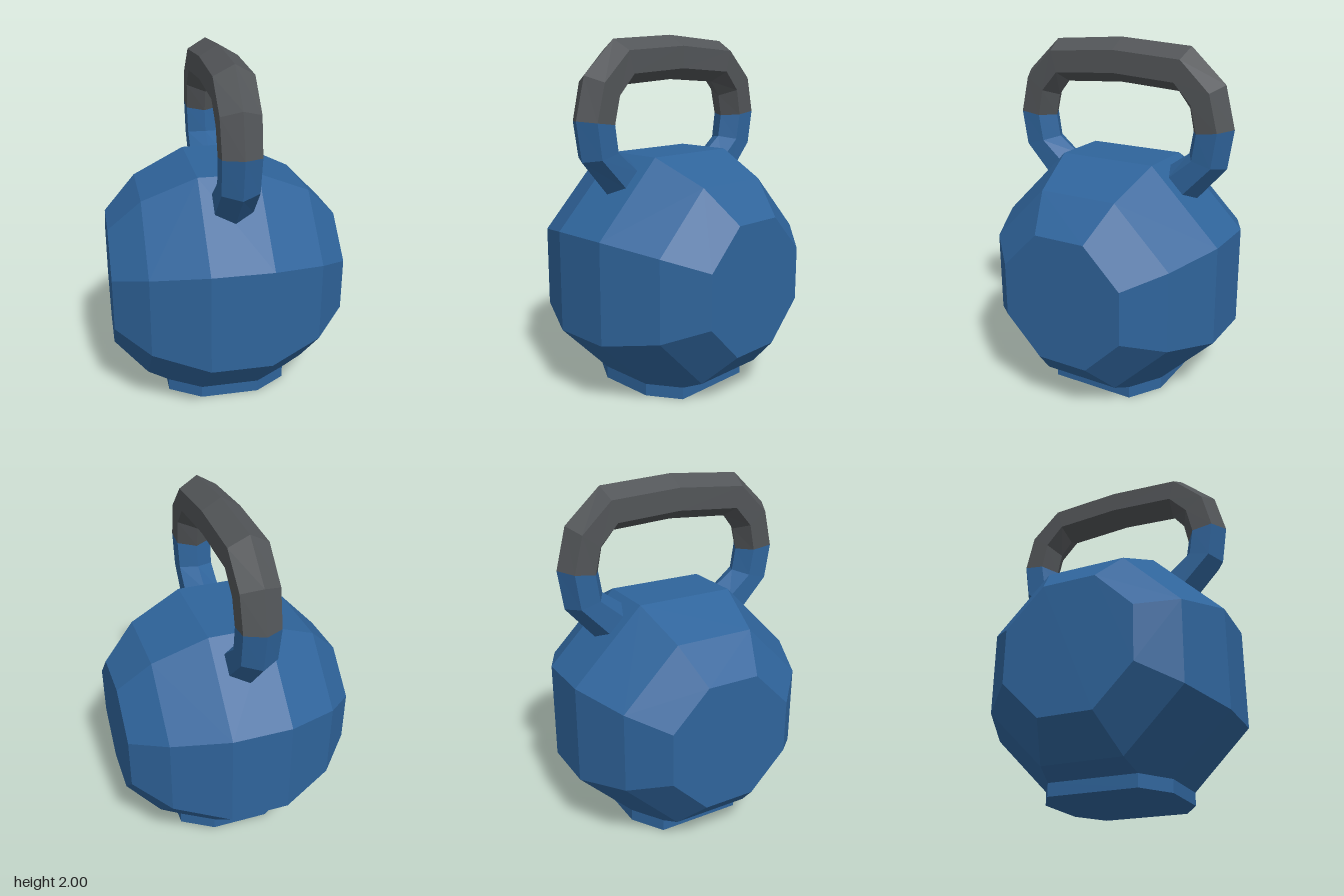
import * as THREE from 'three';
import { ConvexGeometry } from 'three/addons/geometries/ConvexGeometry.js';

const blue = new THREE.MeshStandardMaterial({ name: 'blue paint', color: 0x2f649b });
const grey = new THREE.MeshStandardMaterial({ name: 'dark grip', color: 0x525558 });

const CENTRE_Y = 0.67, BASE_TOP = 0.07;

// Handle stations from the front foot to the top: outer [z, y], inner [z, y]
const half = [
  [0.477, 1.15, 0.297, 1.309],
  [0.646, 1.341, 0.424, 1.4],
  [0.678, 1.557, 0.445, 1.526],
  [0.62, 1.786, 0.42, 1.648],
  [0.419, 1.972, 0.352, 1.733],
];
const mirrored = half.map(([oz, oy, iz, iy]) => [-oz, oy, -iz, iy]).reverse();
const stations = [...half, [0, 2, 0, 1.755], ...mirrored];

// Six-sided ring around the handle path
function hexRing([oz, oy, iz, iy]) {
  const r = Math.hypot(oz - iz, oy - iy) / 2;
  return Array.from({ length: 6 }, (_, k) => {
    const a = k * Math.PI / 3, c = Math.cos(a) / 2;
    return [
      Math.sin(a) * r,
      (oy + iy) / 2 + c * (oy - iy),
      (oz + iz) / 2 + c * (oz - iz),
    ];
  });
}

// Faceted tube through the given stations
function loft(list) {
  const rings = list.map(hexRing), pos = [];
  for (let i = 0; i < rings.length - 1; i++) {
    for (let k = 0; k < 6; k++) {
      const n = (k + 1) % 6;
      const a = rings[i][k], b = rings[i][n], c = rings[i + 1][k], d = rings[i + 1][n];
      pos.push(...a, ...b, ...c, ...b, ...d, ...c);
    }
  }
  const g = new THREE.BufferGeometry();
  g.setAttribute('position', new THREE.Float32BufferAttribute(pos, 3));
  g.computeVertexNormals();
  return g;
}

export function createModel() {
  const model = new THREE.Group();
  model.name = 'kettlebell';
  const add = (name, geometry, material) => {
    const mesh = new THREE.Mesh(geometry, material);
    mesh.name = name;
    model.add(mesh);
  };

  // Foot outline, where the ball is cut flat
  const foot = [];
  for (const sx of [-1, 1]) for (const sz of [-1, 1]) {
    foot.push([sx * 0.168, sz * 0.362], [sx * 0.35, sz * 0.249]);
  }
  const footAt = (y) => foot.map(([x, z]) => new THREE.Vector3(x, y, z));

  // Ball: octagonal rings along x, given as [x, apothem]
  const points = footAt(BASE_TOP);
  for (const [x, apothem] of [[0.168, 0.68], [0.47, 0.545], [0.655, 0.36]]) {
    const r = apothem / Math.cos(Math.PI / 8);
    for (let k = 0; k < 8; k++) {
      const a = (k + 0.5) * Math.PI / 4;
      const y = CENTRE_Y + r * Math.sin(a), z = r * Math.cos(a);
      if (y < BASE_TOP) continue;
      points.push(new THREE.Vector3(x, y, z), new THREE.Vector3(-x, y, z));
    }
  }
  add('ball', new ConvexGeometry(points), blue);
  add('base', new ConvexGeometry([...footAt(0), ...footAt(BASE_TOP)]), blue);

  // Handle: painted legs and dark grip
  add('frontHandleLeg', loft(stations.slice(0, 3)), blue);
  add('grip', loft(stations.slice(2, 9)), grey);
  add('backHandleLeg', loft(stations.slice(8)), blue);

  return model;
}
